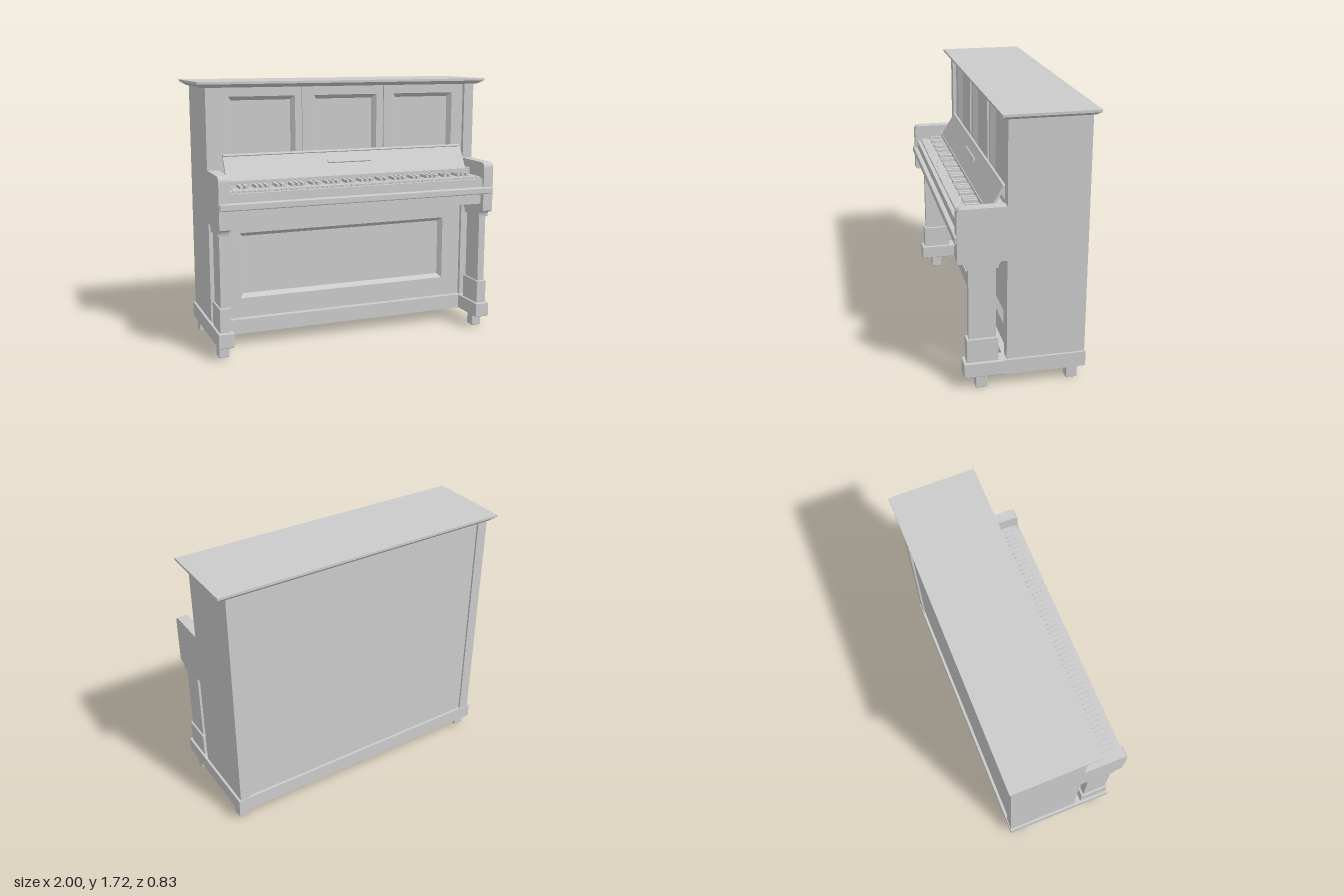
import * as THREE from 'three';
import { RoundedBoxGeometry } from 'three/addons/geometries/RoundedBoxGeometry.js';
import { toCreasedNormals, mergeGeometries } from 'three/addons/utils/BufferGeometryUtils.js';

const material = new THREE.MeshStandardMaterial({ color: 0xcccccc });

function add(parent, name, geometry) {
  const mesh = new THREE.Mesh(geometry, material);
  mesh.name = name;
  parent.add(mesh);
  return mesh;
}

// Box given by its limits on each axis
function boxGeo(x0, x1, y0, y1, z0, z1, round = 0) {
  const s = [x1 - x0, y1 - y0, z1 - z0];
  const g = round ? new RoundedBoxGeometry(...s, 2, round) : new THREE.BoxGeometry(...s);
  return g.translate((x0 + x1) / 2, (y0 + y1) / 2, (z0 + z1) / 2);
}
const box = (parent, name, ...limits) => add(parent, name, boxGeo(...limits));

// Extrude a (z, y) outline across x, from x0 to x1
function sideProfile(shape, x0, x1) {
  const g = new THREE.ExtrudeGeometry(shape, { depth: x1 - x0, bevelEnabled: false, curveSegments: 8 });
  return toCreasedNormals(g.rotateY(-Math.PI / 2).translate(x1, 0, 0), 0.5);
}

function rectPath(Type, x0, x1, y0, y1) {
  return new Type([[x0, y0], [x1, y0], [x1, y1], [x0, y1]].map(p => new THREE.Vector2(...p)));
}

// Four mitred slopes leading from an opening down to the recessed field
function recessSlopes(x0, x1, y0, y1, zFront, zBack, inset) {
  const corners = [[x0, y0, 1, 1], [x1, y0, -1, 1], [x1, y1, -1, -1], [x0, y1, 1, -1]];
  const pos = [];
  for (let i = 0; i < 4; i++) {
    const a = corners[i], b = corners[(i + 1) % 4];
    const A = [a[0], a[1], zFront], B = [b[0], b[1], zFront];
    const C = [b[0] + b[2] * inset, b[1] + b[3] * inset, zBack];
    const D = [a[0] + a[2] * inset, a[1] + a[3] * inset, zBack];
    pos.push(...A, ...B, ...C, ...A, ...C, ...D);
  }
  const g = new THREE.BufferGeometry();
  g.setAttribute('position', new THREE.Float32BufferAttribute(pos, 3));
  g.computeVertexNormals();
  return g;
}

// Flat frame with sloped rectangular recesses
function panelledFront(parent, name, limits, openings) {
  const shape = rectPath(THREE.Shape, ...limits);
  for (const o of openings) {
    shape.holes.push(rectPath(THREE.Path, ...o));
    add(parent, name + 'Bevel', recessSlopes(...o, 0.08, 0.05, 0.025));
  }
  add(parent, name, new THREE.ExtrudeGeometry(shape, { depth: 0.03, bevelEnabled: false }).translate(0, 0, 0.05));
}

function buildCabinet(g) {
  box(g, 'cabinetCore', -0.87, 0.87, 0.17, 1.69, -0.372, 0.05);
  panelledFront(g, 'upperFront', [-0.87, 0.87, 1.0, 1.685],
    [-0.57, 0, 0.565].map(x => [x - 0.22, x + 0.22, 1.14, 1.62]));
  panelledFront(g, 'lowerFront', [-0.87, 0.87, 0.18, 0.9], [[-0.735, 0.735, 0.31, 0.745]]);
  for (const s of [-1, 1]) {
    box(g, 'upperDivider', s * 0.287 - 0.018, s * 0.287 + 0.018, 1.1, 1.685, 0.07, 0.09);
    box(g, 'sidePanel', s * 0.905 - 0.035, s * 0.905 + 0.035, 0.175, 1.685, -0.385, 0.105);
  }

  // Lid with a moulding that widens upward
  const moulding = boxGeo(-1, 1, 1.678, 1.702, -0.415, 0.15);
  const p = moulding.attributes.position;
  for (let i = 0; i < p.count; i++) {
    if (p.getY(i) < 1.69) {
      p.setX(i, Math.sign(p.getX(i)) * 0.957);
      p.setZ(i, p.getZ(i) > 0 ? 0.115 : -0.392);
    }
  }
  moulding.computeVertexNormals();
  add(g, 'lidMoulding', moulding);
  box(g, 'lid', -1, 1, 1.7, 1.715, -0.415, 0.15);
}

function buildBase(g) {
  box(g, 'plinth', -0.955, 0.955, 0.083, 0.18, -0.39, 0.12);
  for (const s of [-1, 1]) {
    box(g, 'toeBlock', s * 0.905 - 0.05, s * 0.905 + 0.05, 0.083, 0.18, 0.08, 0.37, 0.006);
    for (const z of [0.26, -0.308])
      box(g, 'foot', s * 0.905 - 0.034, s * 0.905 + 0.034, 0, 0.09, z - 0.036, z + 0.036, 0.006);
  }
}

function buildArmsAndLegs(g) {
  const arm = new THREE.Shape();
  arm.moveTo(0.09, 0.83);
  arm.lineTo(0.138, 0.83);
  arm.quadraticCurveTo(0.155, 0.82, 0.157, 0.79);
  arm.lineTo(0.345, 0.79);
  arm.quadraticCurveTo(0.347, 0.82, 0.363, 0.83);
  arm.lineTo(0.392, 0.83);
  arm.lineTo(0.4, 0.838);
  arm.lineTo(0.4, 1.127);
  arm.quadraticCurveTo(0.4, 1.165, 0.362, 1.165);
  arm.lineTo(0.09, 1.165);
  arm.closePath();
  for (const s of [-1, 1]) {
    const x = s * 0.905;
    add(g, 'arm', sideProfile(arm, x - 0.035, x + 0.035));
    box(g, 'leg', x - 0.024, x + 0.024, 0.33, 0.795, 0.17, 0.335);
    box(g, 'legBlock', x - 0.035, x + 0.035, 0.175, 0.335, 0.155, 0.35, 0.004);
  }
}

function buildKeyboard(g) {
  box(g, 'keyBed', -0.87, 0.87, 0.882, 1.035, 0.05, 0.362);
  box(g, 'keySlip', -0.87, 0.87, 0.99, 1.055, 0.36, 0.385);
  box(g, 'frontRail', -0.937, 0.937, 0.955, 1.0, 0.35, 0.415, 0.008);
  box(g, 'keyBackRail', -0.87, 0.87, 1.03, 1.105, 0.05, 0.205);

  // 52 naturals starting on A; a sharp follows each one except B and E
  const white = [], black = [], w = 1.74 / 52;
  for (let i = 0; i < 52; i++) {
    const x = -0.87 + i * w, note = i % 7;
    white.push(boxGeo(x + 0.0012, x + w - 0.0012, 1.03, 1.066, 0.2, 0.358));
    if (note !== 1 && note !== 4 && i < 51)
      black.push(boxGeo(x + w - 0.01, x + w + 0.01, 1.06, 1.085, 0.2, 0.295));
  }
  add(g, 'whiteKeys', mergeGeometries(white));
  add(g, 'blackKeys', mergeGeometries(black));
}

function buildFallboard(g) {
  // Hinged at the lower edge and leaning back against the upper front
  const fall = new THREE.Group();
  fall.name = 'fallboard';
  fall.position.set(0, 1.105, 0.2);
  fall.rotation.x = -Math.atan2(0.095, 0.155);
  box(fall, 'fallboardPanel', -0.84, 0.84, 0, 0.175, -0.016, 0);
  box(fall, 'fallboardLip', -0.84, 0.84, 0.168, 0.184, -0.016, 0.008, 0.004);
  box(fall, 'fallboardHandle', -0.153, 0.153, 0.09, 0.12, -0.006, 0.008, 0.006);
  g.add(fall);
  for (const s of [-1, 1])
    box(g, 'cheekBlock', s * 0.857 - 0.015, s * 0.857 + 0.015, 1.06, 1.11, 0.08, 0.205);
}

export function createModel() {
  const model = new THREE.Group();
  model.name = 'uprightPiano';
  const parts = { cabinet: buildCabinet, base: buildBase, armsAndLegs: buildArmsAndLegs,
    keyboard: buildKeyboard, fallboardAssembly: buildFallboard };
  for (const [name, build] of Object.entries(parts)) {
    const group = new THREE.Group();
    group.name = name;
    build(group);
    model.add(group);
  }
  return model;
}
